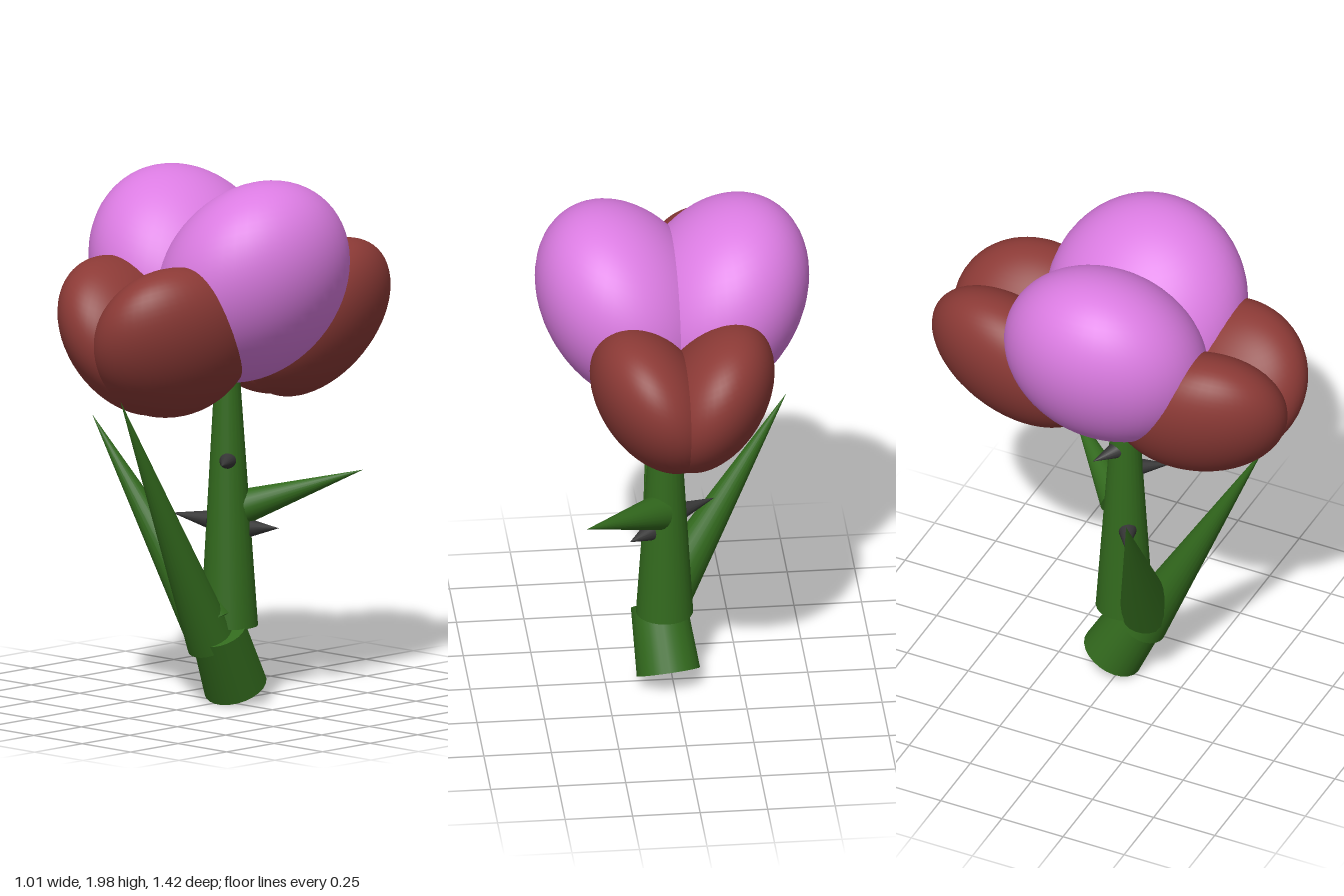
import * as THREE from 'three';

const material = (color) => new THREE.MeshStandardMaterial({ color });

const UP = new THREE.Vector3(0, 1, 0);

export function createModel() {
  const model = new THREE.Group();
  const purple = material(0xdb7ce2);
  const red = material(0x8c3a36);
  const green = material(0x32691d);
  const dark = material(0x363636);

  const add = (name, geometry, mat) => {
    const mesh = new THREE.Mesh(geometry, mat);
    mesh.name = name;
    model.add(mesh);
    return mesh;
  };

  // Tapered round piece running from point a to point b
  const taper = (name, a, b, ra, rb, mat, sides = 24) => {
    const from = new THREE.Vector3(...a);
    const axis = new THREE.Vector3(...b).sub(from);
    const geometry = new THREE.CylinderGeometry(rb, ra, axis.length(), sides);
    const mesh = add(name, geometry, mat);
    mesh.position.copy(from).addScaledVector(axis, 0.5);
    mesh.quaternion.setFromUnitVectors(UP, axis.normalize());
    return mesh;
  };

  // Tilted ellipsoid: half extents along x, y, z, plus the lean between each pair of axes
  const petal = (name, centre, [rx, ry, rz], [xy, xz, yz], mat) => {
    const a = rx, b = xy / a, c = xz / a;
    const d = Math.sqrt(ry * ry - b * b);
    const e = (yz - b * c) / d;
    const f = Math.sqrt(rz * rz - c * c - e * e);
    const geometry = new THREE.SphereGeometry(1, 48, 32);
    geometry.applyMatrix4(new THREE.Matrix4().set(
      a, 0, 0, centre[0],
      b, d, 0, centre[1],
      c, e, f, centre[2],
      0, 0, 0, 1));
    add(name, geometry, mat);
  };

  // Petals: one large upper pair, and smaller pairs at front and back
  for (const sx of [1, -1]) {
    const side = sx > 0 ? 'Left' : 'Right';
    petal('upperPetal' + side, [sx * 0.17, 1.616, 0.025],
      [0.336, 0.385, 0.385], [sx * 0.035, 0, 0], purple);
    for (const sz of [1, -1]) {
      petal((sz > 0 ? 'front' : 'back') + 'Petal' + side, [sx * 0.11, 1.425, sz * 0.38],
        [0.23, 0.295, 0.33], [sx * 0.0219, -sx * sz * 0.008, sz * 0.018], red);
    }
  }

  // Stem: a long upright piece over a short slanted foot
  taper('upperStem', [0.03, 0.31, 0.003], [0.025, 1.4, 0.01], 0.106, 0.037, green);
  taper('lowerStem', [0.02, 0.075, -0.04], [0.045, 0.3, 0.075], 0.118, 0.103, green);

  // Pointed leaves
  taper('frontLeaf', [0.02, 0.25, 0.085], [0.03, 1.22, 0.575], 0.092, 0, green);
  taper('rightLeaf', [0.02, 0.32, 0.1], [-0.445, 1.07, 0.24], 0.1, 0, green);
  taper('leftLeaf', [0.06, 0.752, -0.04], [0.355, 0.885, -0.37], 0.066, 0, green);

  // Thorns
  const thorns = [
    [[-0.01, 1.05, -0.005], [-0.105, 1.04, -0.06]],
    [[0.06, 0.935, 0.04], [0.13, 0.935, 0.145]],
    [[-0.03, 0.704, 0.045], [-0.165, 0.72, 0.105]],
    [[0.09, 0.675, -0.045], [0.17, 0.675, -0.115]],
  ];
  thorns.forEach(([base, tip], i) => taper('thorn' + (i + 1), base, tip, 0.034, 0, dark, 16));

  return model;
}
